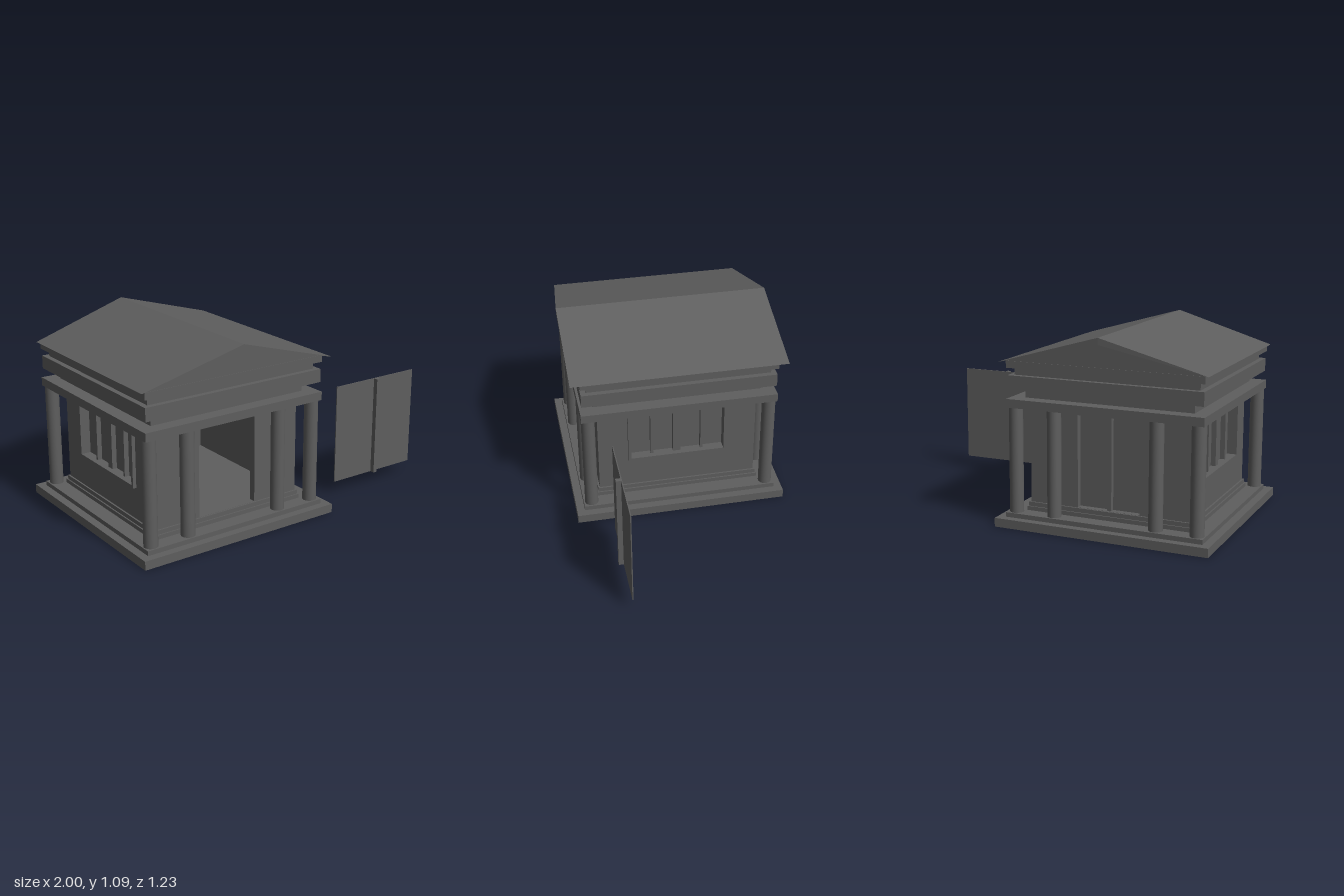
import * as THREE from 'three';

const CX = -0.383; // centre line of the temple

export function createModel() {
  const root = new THREE.Group();
  root.name = 'smallTemple';
  const stone = new THREE.MeshStandardMaterial({ color: 0x5e5e5e });
  stone.name = 'dark grey stone';
  const stoneSheet = new THREE.MeshStandardMaterial({ color: 0x5e5e5e, side: THREE.DoubleSide });
  stoneSheet.name = 'dark grey stone';

  const temple = new THREE.Group();
  temple.name = 'temple';
  temple.position.x = CX;
  root.add(temple);

  const add = (parent, name, geometry, x = 0, y = 0, z = 0, material = stone) => {
    const mesh = new THREE.Mesh(geometry, material);
    mesh.name = name;
    mesh.position.set(x, y, z);
    parent.add(mesh);
    return mesh;
  };
  // Box given by its width, depth and its bottom and top heights
  const block = (parent, name, w, d, y0, y1, x = 0, z = 0) =>
    add(parent, name, new THREE.BoxGeometry(w, y1 - y0, d), x, (y0 + y1) / 2, z);
  // Upright rectangular slab with a rectangular opening, extruded along +z
  const rect = (T, x, y0, y1) => {
    const s = new T();
    s.moveTo(-x, y0).lineTo(x, y0).lineTo(x, y1).lineTo(-x, y1).closePath();
    return s;
  };
  const opened = (outer, inner, depth) => {
    const shape = rect(THREE.Shape, ...outer);
    shape.holes.push(rect(THREE.Path, ...inner));
    return new THREE.ExtrudeGeometry(shape, { depth, bevelEnabled: false });
  };

  // Square layers: plinth, steps and stacked entablature
  for (const [name, half, y0, y1] of [
    ['plinth', 0.617, 0, 0.05],
    ['lowerStep', 0.571, 0.05, 0.076],
    ['middleStep', 0.483, 0.076, 0.099],
    ['floorStep', 0.475, 0.099, 0.123],
    ['architrave', 0.565, 0.667, 0.715],
    ['friezeRecess', 0.486, 0.715, 0.77],
    ['friezeBand', 0.558, 0.77, 0.845],
    ['corniceRecess', 0.528, 0.845, 0.886],
    ['cornice', 0.563, 0.886, 0.925],
  ]) block(temple, name, half * 2, half * 2, y0, y1);

  // Four columns at the front and four at the back
  const columnGeometry = new THREE.CylinderGeometry(0.039, 0.039, 0.593, 24);
  for (const z of [-0.524, 0.524])
    for (const x of [-0.525, -0.295, 0.295, 0.525])
      add(temple, 'column', columnGeometry, x, 0.3715, z);

  // Front and back walls with doorways
  const doorWall = opened([0.465, 0.123, 0.667], [0.182, 0.124, 0.64], 0.04);
  add(temple, 'frontWall', doorWall, 0, 0, 0.425);
  add(temple, 'backWall', doorWall, 0, 0, -0.465);

  // Thin door panel with a central post
  const makeDoor = (name) => {
    const door = new THREE.Group();
    door.name = name;
    block(door, 'doorPanel', 0.587, 0.006, 0.076, 0.66);
    block(door, 'doorPost', 0.024, 0.03, 0.076, 0.66, 0, 0.016);
    return door;
  };
  const backDoor = makeDoor('backDoor');
  backDoor.rotation.y = Math.PI;
  backDoor.position.z = -0.424;
  temple.add(backDoor);
  const looseDoor = makeDoor('detachedFrontDoor');
  looseDoor.position.set(0.7065, 0, 0.424);
  root.add(looseDoor);

  // Side walls with framed windows, built facing +z and turned outward
  const sideWall = opened([0.425, 0.123, 0.667], [0.274, 0.32, 0.617], 0.04);
  const frame = opened([0.291, 0.305, 0.633], [0.274, 0.32, 0.617], 0.022);
  for (const side of [-1, 1]) {
    const wall = new THREE.Group();
    wall.name = side > 0 ? 'leftWall' : 'rightWall';
    wall.rotation.y = side * Math.PI / 2;
    add(wall, 'wallSlab', sideWall, 0, 0, 0.425);
    add(wall, 'windowFrame', frame, 0, 0, 0.463);
    block(wall, 'windowPane', 0.57, 0.006, 0.31, 0.627, 0, 0.424);
    for (const [x, w] of [[-0.148, 0.015], [0, 0.045], [0.148, 0.015]])
      block(wall, 'windowMullion', w, 0.03, 0.32, 0.617, x, 0.44);
    temple.add(wall);
  }

  // Triangular gable block under the roof
  const gable = new THREE.Shape();
  gable.moveTo(-0.565, 0.925).lineTo(0.565, 0.925).lineTo(0, 1.055).closePath();
  add(temple, 'pediment',
    new THREE.ExtrudeGeometry(gable, { depth: 1.12, bevelEnabled: false }), 0, 0, -0.56);

  // Chevron roof, thickest at the ridge; one eave is a little shorter
  const section = [[-0.583, 0.925, 0.57], [0, 1.092, 0.617], [0.583, 0.925, 0.617], [0, 1.055, 0.617]];
  const positions = [];
  for (const s of [1, -1]) for (const [x, y, z] of section) positions.push(x, y, z * s);
  const index = [0, 3, 1, 3, 2, 1, 4, 5, 7, 7, 5, 6];
  for (let i = 0; i < 4; i++) {
    const j = (i + 1) % 4;
    index.push(i, j, j + 4, i, j + 4, i + 4);
  }
  let roof = new THREE.BufferGeometry();
  roof.setAttribute('position', new THREE.Float32BufferAttribute(positions, 3));
  roof.setIndex(index);
  roof = roof.toNonIndexed();
  roof.computeVertexNormals();
  add(temple, 'roof', roof, 0, 0, 0, stoneSheet);

  return root;
}
